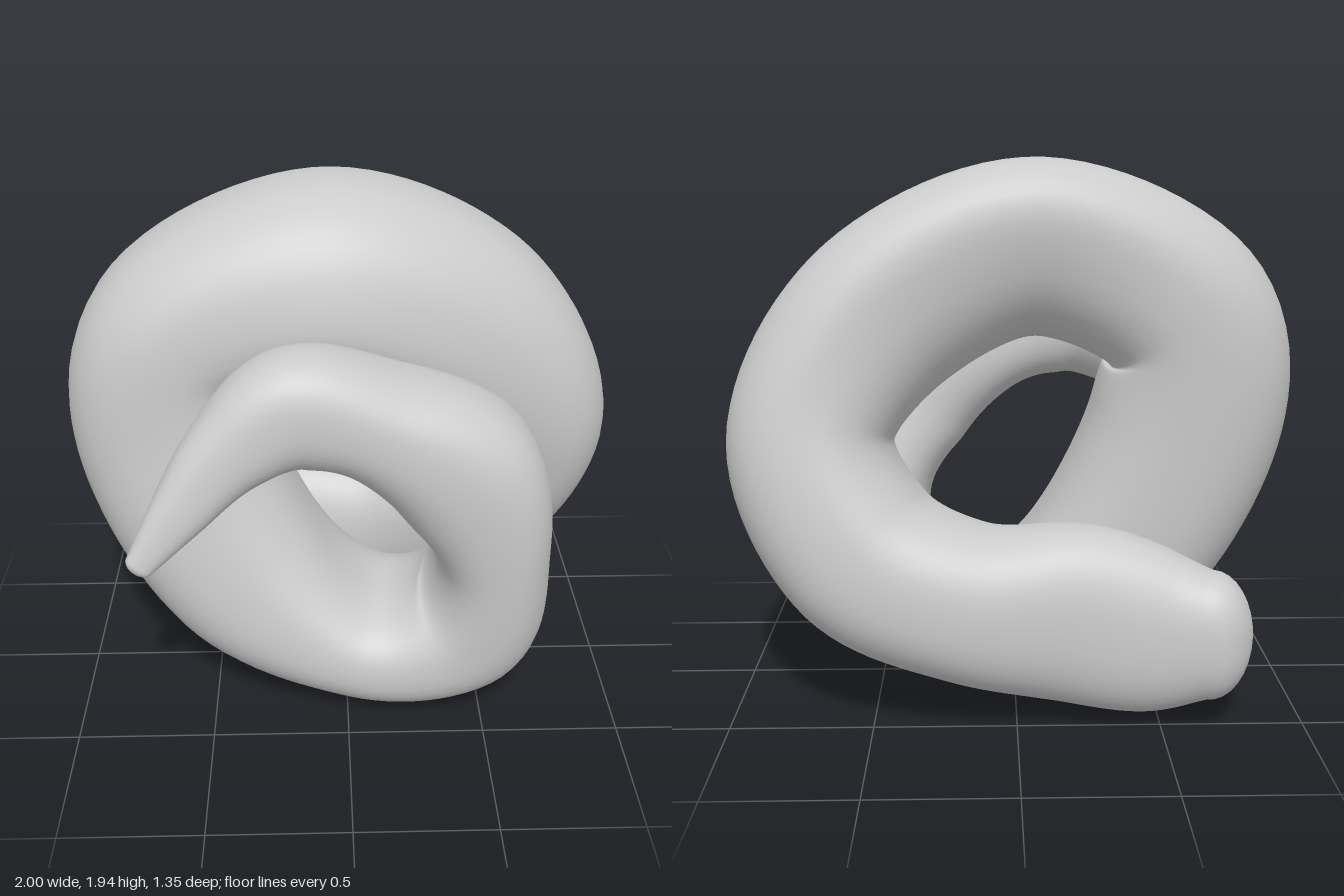
import * as THREE from 'three';

// Stations from thin tip to blunt end:
// centre x, y, z, in-plane half width, depth half width, lean of the outer side to the back
const STATIONS = [
  [-0.7, 0.85, 0.64, 0.05, 0.035, 0],
  [-0.58, 0.995, 0.575, 0.095, 0.07, 0],
  [-0.42, 1.17, 0.485, 0.145, 0.12, 0],
  [-0.2, 1.3, 0.4, 0.205, 0.18, 0],
  [0.08, 1.235, 0.345, 0.2, 0.225, 0],
  [0.4, 1.02, 0.315, 0.265, 0.255, 0],
  [0.525, 0.66, 0.25, 0.205, 0.285, 0],
  [0.45, 0.32, 0.18, 0.245, 0.31, 0],
  [0.08, 0.212, 0.1, 0.212, 0.36, 0],
  [-0.36, 0.46, 0.04, 0.325, 0.35, 0],
  [-0.63, 0.99, -0.02, 0.35, 0.33, 0],
  [-0.59, 1.41, -0.045, 0.32, 0.335, 0.05],
  [-0.07, 1.62, -0.055, 0.32, 0.325, 0.26],
  [0.45, 1.4, -0.14, 0.32, 0.33, 0.22],
  [0.71, 0.99, -0.24, 0.285, 0.34, 0.08],
  [0.53, 0.59, -0.34, 0.29, 0.32, 0],
  [0.17, 0.43, -0.42, 0.275, 0.26, 0],
  [-0.2, 0.385, -0.42, 0.315, 0.21, 0],
  [-0.47, 0.33, -0.44, 0.295, 0.19, 0],
  [-0.67, 0.325, -0.49, 0.225, 0.155, 0],
];
const STEPS = 216, SIDES = 40, CAP = 8;

// Smooth interpolation of three station columns
const curveOf = first => new THREE.CatmullRomCurve3(
  STATIONS.map(s => new THREE.Vector3(...s.slice(first, first + 3))), false, 'catmullrom', 0.5);

// Slightly squared circle
const squared = v => Math.sign(v) * Math.pow(Math.abs(v), 0.82);

// Sweep of soft squarish sections with rounded ends
function coilGeometry() {
  const path = curveOf(0), size = curveOf(3);
  const pos = [], index = [];

  const addRing = (t, push, scale) => {
    // Wide chord as tangent keeps the inner bends from folding
    const T = path.getPoint(Math.min(t + 0.025, 1))
      .sub(path.getPoint(Math.max(t - 0.025, 0))).normalize();
    const N = new THREE.Vector3(T.y, -T.x, 0).normalize();
    const B = new THREE.Vector3().crossVectors(T, N);
    const r = size.getPoint(t);
    const c = path.getPoint(t).addScaledVector(T, push * r.x * 0.65);
    for (let j = 0; j < SIDES; j++) {
      const a = (j / SIDES) * Math.PI * 2;
      const n = squared(Math.cos(a)) * r.x * scale;
      const b = squared(Math.sin(a)) * r.y * scale - n * r.z;
      const p = c.clone().addScaledVector(N, n).addScaledVector(B, b);
      pos.push(p.x, p.y, p.z);
    }
  };

  // Tip cap, body, end cap
  for (let k = CAP; k > 0; k--) {
    const a = (k / CAP) * Math.PI / 2;
    addRing(0, -Math.sin(a), Math.max(Math.cos(a), 0.001));
  }
  for (let i = 0; i <= STEPS; i++) addRing(i / STEPS, 0, 1);
  for (let k = 1; k <= CAP; k++) {
    const a = (k / CAP) * Math.PI / 2;
    addRing(1, Math.sin(a), Math.max(Math.cos(a), 0.001));
  }

  const rings = pos.length / 3 / SIDES;
  for (let i = 0; i < rings - 1; i++) {
    for (let j = 0; j < SIDES; j++) {
      const k = (j + 1) % SIDES;
      const a = i * SIDES + j, b = i * SIDES + k, c = a + SIDES, d = b + SIDES;
      index.push(a, b, c, b, d, c);
    }
  }
  const geo = new THREE.BufferGeometry();
  geo.setAttribute('position', new THREE.Float32BufferAttribute(pos, 3));
  geo.setIndex(index);
  geo.computeVertexNormals();
  return geo;
}

export function createModel() {
  const group = new THREE.Group();
  group.name = 'coiledBody';
  const coil = new THREE.Mesh(coilGeometry(), new THREE.MeshStandardMaterial({ color: 0xcccccc }));
  coil.name = 'taperedCoil';
  group.add(coil);
  // Stand on the ground and centre
  const box = new THREE.Box3().setFromObject(group);
  const mid = box.getCenter(new THREE.Vector3());
  coil.geometry.translate(-mid.x, -box.min.y, -mid.z);
  return group;
}
